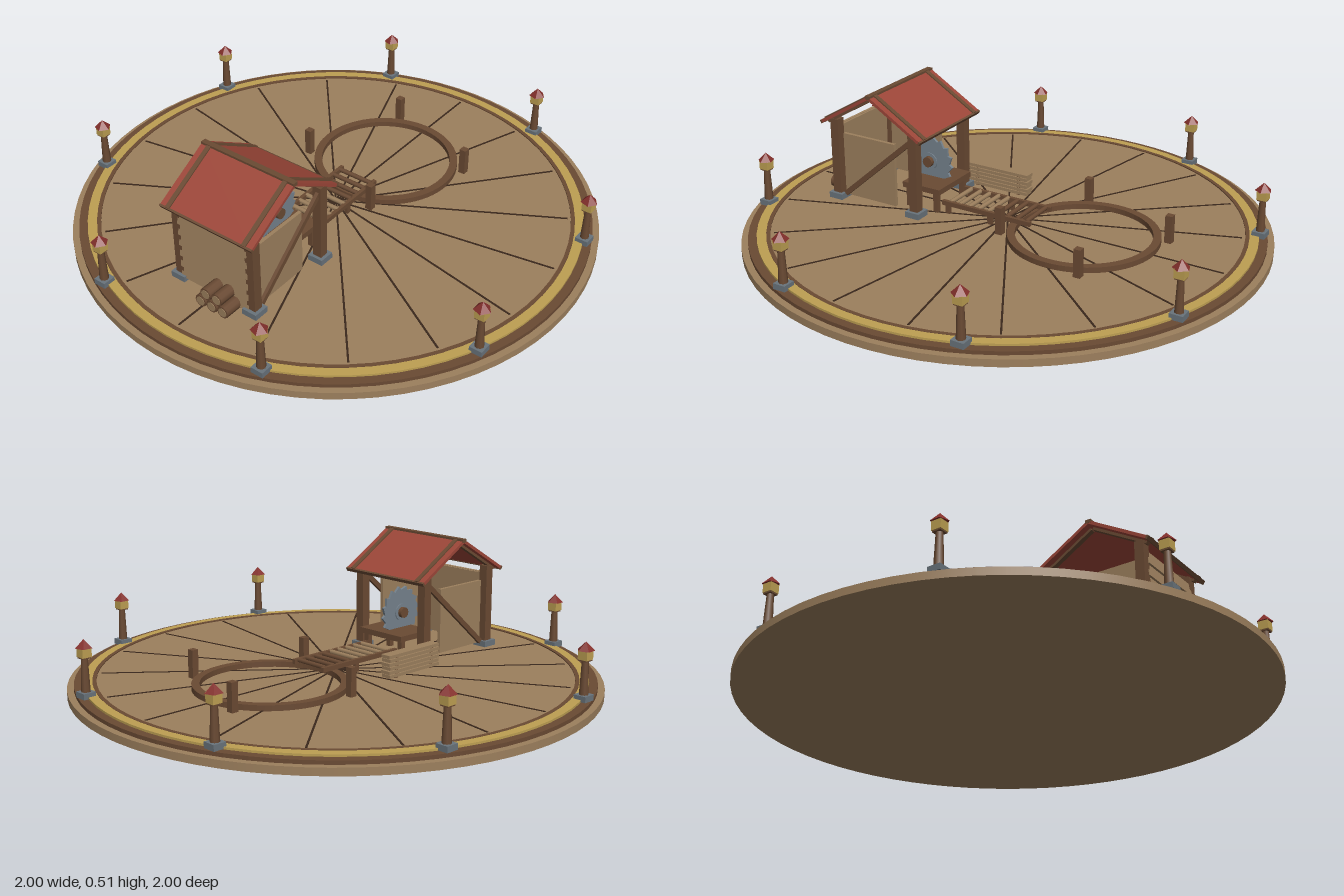
import * as THREE from 'three';

const mat = (name, color) => {
  const m = new THREE.MeshStandardMaterial({ color });
  m.name = name;
  return m;
};

export function createModel() {
  const root = new THREE.Group();
  root.name = 'sawmillPlatform';
  const tan = mat('tanWood', 0x9c7f5d), brown = mat('brownWood', 0x6a4a33);
  const dark = mat('darkSeam', 0x3a281c), gold = mat('gold', 0xbd9f52);
  const red = mat('redRoof', 0x9c4638), maroon = mat('lanternCap', 0x84302c);
  const steel = mat('steel', 0x75828d), stone = mat('stone', 0x69737b);

  const add = (parent, name, geo, m, x = 0, y = 0, z = 0) => {
    const mesh = new THREE.Mesh(geo, m);
    mesh.name = name;
    mesh.position.set(x, y, z);
    parent.add(mesh);
    return mesh;
  };
  const box = (parent, name, m, w, h, d, x, y, z) =>
    add(parent, name, new THREE.BoxGeometry(w, h, d), m, x, y, z);
  const group = (name, parent = root) => {
    const g = new THREE.Group();
    g.name = name;
    parent.add(g);
    return g;
  };
  // flat ring lying on the ground, rectangular in section
  const ring = (parent, name, m, inner, outer, y0, y1, x = 0) => {
    const pts = [[inner, y0], [outer, y0], [outer, y1], [inner, y1], [inner, y0]];
    const geo = new THREE.LatheGeometry(pts.map(p => new THREE.Vector2(...p)), 72).toNonIndexed();
    geo.computeVertexNormals();
    return add(parent, name, geo, m, x, 0, 0);
  };

  // Round stepped base
  const base = group('base');
  add(base, 'baseDisc', new THREE.CylinderGeometry(1, 1, 0.028, 72), tan, 0, 0.014, 0);
  ring(base, 'outerStep', brown, 0.9, 0.975, 0.027, 0.042);
  ring(base, 'goldRing', gold, 0.908, 0.943, 0.04, 0.05);
  ring(base, 'innerLip', brown, 0.893, 0.908, 0.04, 0.051);
  add(base, 'floor', new THREE.CylinderGeometry(0.896, 0.896, 0.022, 72), tan, 0, 0.036, 0);
  for (let i = 0; i < 18; i++) {
    const a = (i * Math.PI) / 9;
    const seam = box(base, 'floorSeam', dark, 0.88, 0.004, 0.007, Math.cos(a) * 0.44, 0.047, -Math.sin(a) * 0.44);
    seam.rotation.y = a;
  }

  // Lanterns around the rim
  for (let i = 0; i < 8; i++) {
    const a = Math.PI / 8 + (i * Math.PI) / 4;
    const l = group('lantern');
    l.position.set(Math.cos(a) * 0.946, 0, Math.sin(a) * 0.946);
    box(l, 'lanternFoot', stone, 0.05, 0.022, 0.05, 0, 0.054, 0);
    add(l, 'lanternPost', new THREE.CylinderGeometry(0.012, 0.017, 0.13, 8), brown, 0, 0.13, 0);
    box(l, 'lanternTray', brown, 0.034, 0.006, 0.034, 0, 0.19, 0);
    box(l, 'lanternLight', gold, 0.038, 0.034, 0.038, 0, 0.209, 0);
    add(l, 'lanternCap', new THREE.ConeGeometry(0.032, 0.032, 5), maroon, 0, 0.241, 0).material.flatShading = true;
  }

  // Log yard: circular curb with four stakes
  const yard = group('logYard');
  ring(yard, 'curb', brown, 0.255, 0.285, 0.045, 0.068, 0.328);
  for (let i = 0; i < 4; i++) {
    const a = 0.43 + (i * Math.PI) / 2;
    box(yard, 'yardStake', brown, 0.027, 0.11, 0.027, 0.328 + Math.cos(a) * 0.312, 0.1, -Math.sin(a) * 0.312);
  }

  // Hut frame
  const hut = group('hut');
  hut.position.x = -0.49;
  for (const s of [-1, 1]) {
    for (const x of [-0.185, 0.18]) {
      box(hut, 'cornerPost', brown, 0.036, 0.32, 0.036, x, 0.217, s * 0.165);
      box(hut, 'postFoot', stone, 0.062, 0.026, 0.062, x, 0.057, s * 0.165);
    }
    box(hut, 'sidePanel', tan, 0.24, 0.255, 0.014, -0.038, 0.19, s * 0.155);
    const brace = box(hut, 'diagonalBrace', brown, 0.43, 0.02, 0.014, 0.01, 0.21, s * 0.168);
    brace.rotation.z = Math.atan2(0.28, 0.32);
  }
  // Clapboard rear wall
  box(hut, 'rearWall', tan, 0.01, 0.285, 0.31, -0.185, 0.2, 0);
  for (let i = 0; i < 6; i++) {
    const board = box(hut, 'clapboard', tan, 0.01, 0.05, 0.31, -0.198, 0.085 + i * 0.047, 0);
    board.rotation.z = -0.16;
  }

  // Gabled roof
  const slope = Math.atan2(0.135, 0.228), len = 0.265;
  for (const s of [-1, 1]) {
    const side = group('roofSlope', hut);
    side.position.set(s * 0.115, 0.433, 0);
    side.rotation.z = -s * slope;
    box(side, 'roofPanel', red, len, 0.012, 0.41, 0, 0, 0);
    box(side, 'eaveTrim', brown, 0.008, 0.015, 0.412, s * len / 2, 0, 0);
    for (const z of [-0.17, 0.17]) {
      box(side, 'roofBatten', brown, len, 0.008, 0.018, 0, 0.007, z);
      box(side, 'rafter', brown, len - 0.02, 0.012, 0.02, 0, -0.01, z);
    }
  }
  box(hut, 'ridgeCap', brown, 0.022, 0.014, 0.412, 0, 0.503, 0);

  // Saw bench
  const saw = group('sawBench');
  box(saw, 'benchTop', brown, 0.17, 0.022, 0.22, -0.325, 0.137, 0);
  for (const x of [-0.39, -0.265])
    for (const z of [-0.09, 0.09]) box(saw, 'benchLeg', brown, 0.02, 0.085, 0.02, x, 0.088, z);
  // Toothed blade
  const shape = new THREE.Shape(), teeth = 16;
  for (let i = 0; i < teeth; i++) {
    const a = (i / teeth) * Math.PI * 2, b = a + (0.75 / teeth) * Math.PI * 2;
    if (i === 0) shape.moveTo(0.089, 0);
    else shape.lineTo(Math.cos(a) * 0.089, Math.sin(a) * 0.089);
    shape.lineTo(Math.cos(b) * 0.104, Math.sin(b) * 0.104);
  }
  shape.closePath();
  const blade = new THREE.ExtrudeGeometry(shape, { depth: 0.01, bevelEnabled: false });
  add(saw, 'sawBlade', blade, steel, -0.352, 0.21, -0.005);
  for (const [name, r, h, m] of [['washer', 0.034, 0.018, steel], ['hub', 0.021, 0.05, brown]]) {
    add(saw, name, new THREE.CylinderGeometry(r, r, h, 12), m, -0.352, 0.21, 0).rotation.x = Math.PI / 2;
  }

  // Roller track leading to the yard
  const track = group('rollerTrack');
  for (const z of [-0.078, 0.078]) {
    box(track, 'trackRail', brown, 0.39, 0.018, 0.015, -0.05, 0.088, z);
    for (const x of [-0.22, -0.03]) box(track, 'trackLeg', brown, 0.018, 0.04, 0.015, x, 0.063, z);
  }
  for (let i = 0; i < 9; i++) {
    const roller = new THREE.CylinderGeometry(0.009, 0.009, 0.15, 8);
    add(track, 'roller', roller, i < 5 ? tan : brown, -0.212 + i * 0.042, 0.092, 0).rotation.x = Math.PI / 2;
  }

  // Stacked boards
  const stack = group('boardStack');
  for (let i = 0; i < 6; i++)
    box(stack, 'board', tan, 0.27, 0.012, 0.042, -0.175 + (i % 2) * 0.004, 0.058 + i * 0.015, -0.225);
  for (const x of [-0.27, -0.08]) box(stack, 'spacer', brown, 0.015, 0.085, 0.034, x, 0.09, -0.225);

  // Log pile behind the hut
  const pile = group('logPile');
  const spots = [[-0.005, 0.07], [0.045, 0.07], [0.095, 0.07], [0.02, 0.112], [0.07, 0.112]];
  for (const [z, y] of spots) {
    const log = add(pile, 'log', new THREE.CylinderGeometry(0.024, 0.024, 0.07, 10), brown, -0.727, y, z);
    log.rotation.z = Math.PI / 2;
    const end = add(pile, 'logEnd', new THREE.CylinderGeometry(0.018, 0.018, 0.004, 10), tan, -0.762, y, z);
    end.rotation.z = Math.PI / 2;
  }
  return root;
}
